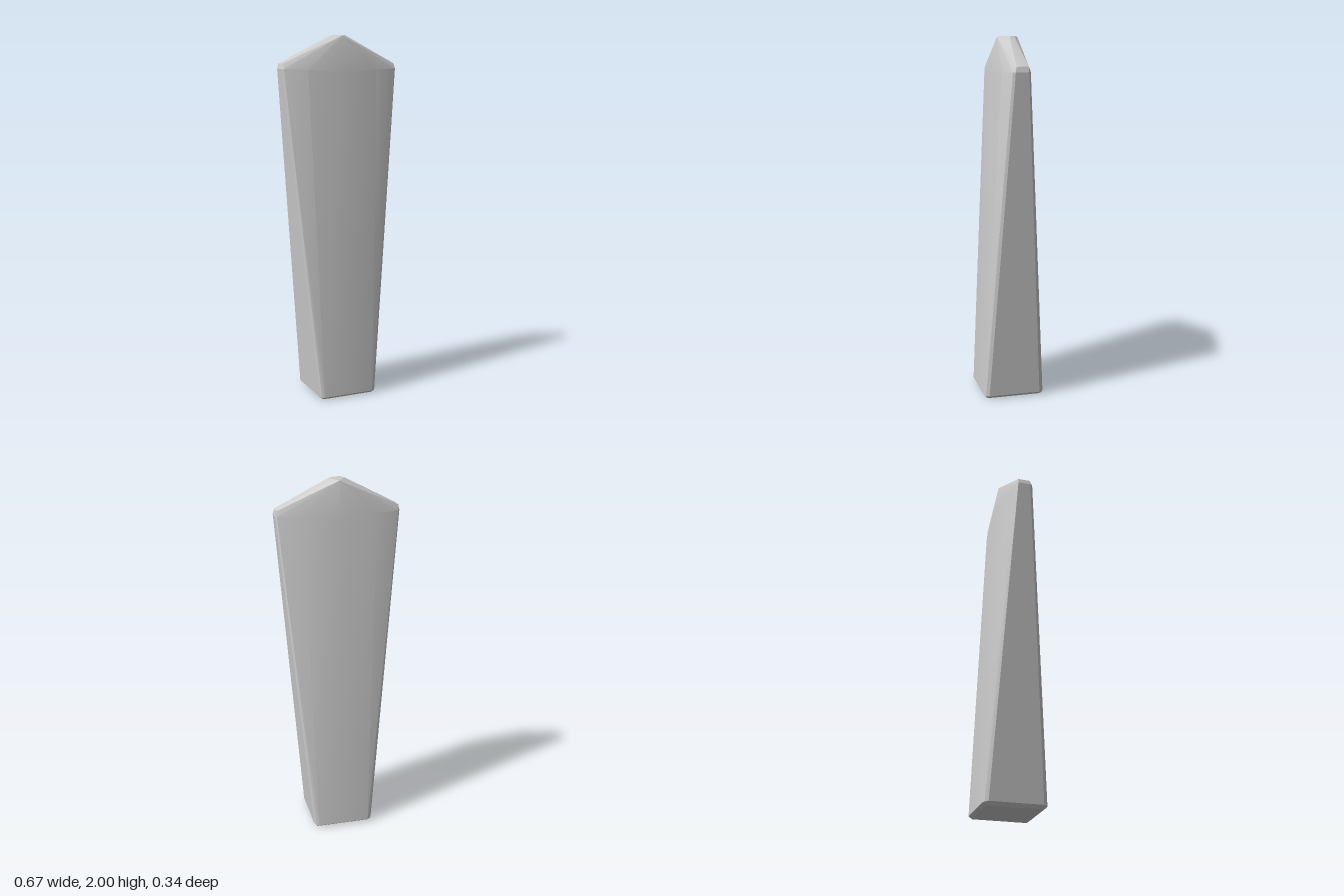
import * as THREE from 'three';
import { ConvexGeometry } from 'three/addons/geometries/ConvexGeometry.js';
import { toCreasedNormals } from 'three/addons/utils/BufferGeometryUtils.js';

export function createModel() {
  const group = new THREE.Group();
  group.name = 'taperedBlock';
  const points = [];
  const add = (x, y, z) => points.push(new THREE.Vector3(x, y, z));

  for (const sx of [-1, 1]) {
    for (const sz of [-1, 1]) {
      const front = sz > 0;
      // square foot with clipped corners and a small bottom bevel
      add(sx * 0.148, 0, sz * 0.15);
      add(sx * 0.145, 0.015, sz * 0.17);
      add(sx * 0.16, 0.015, sz * 0.163);
      add(sx * 0.17, 0.018, sz * 0.145);
      // shoulders, rounded at the ends
      add(sx * 0.2, 1.815, sz * (front ? 0.081 : 0.066));
      add(sx * 0.327, 1.82, sz * (front ? 0.053 : 0.041));
      add(sx * 0.335, 1.82, sz * (front ? 0.04 : 0.03));
      add(sx * 0.328, 1.848, sz * (front ? 0.035 : 0.03));
    }
  }
  // central bulge and the peak of each broad face
  add(0, 1.8, 0.096);
  add(0, 1.8, -0.088);
  add(0.005, 1.995, 0.06);
  add(0, 1.995, -0.055);
  // small flat at the very top
  add(0.048, 2, 0);
  add(-0.04, 2, 0);
  add(-0.03, 2, 0.03);
  add(0.03, 2, -0.03);

  const body = new THREE.Mesh(
    toCreasedNormals(new ConvexGeometry(points), 0.3),
    new THREE.MeshStandardMaterial({ color: 0xcccccc })
  );
  body.name = 'body';
  group.add(body);
  return group;
}
